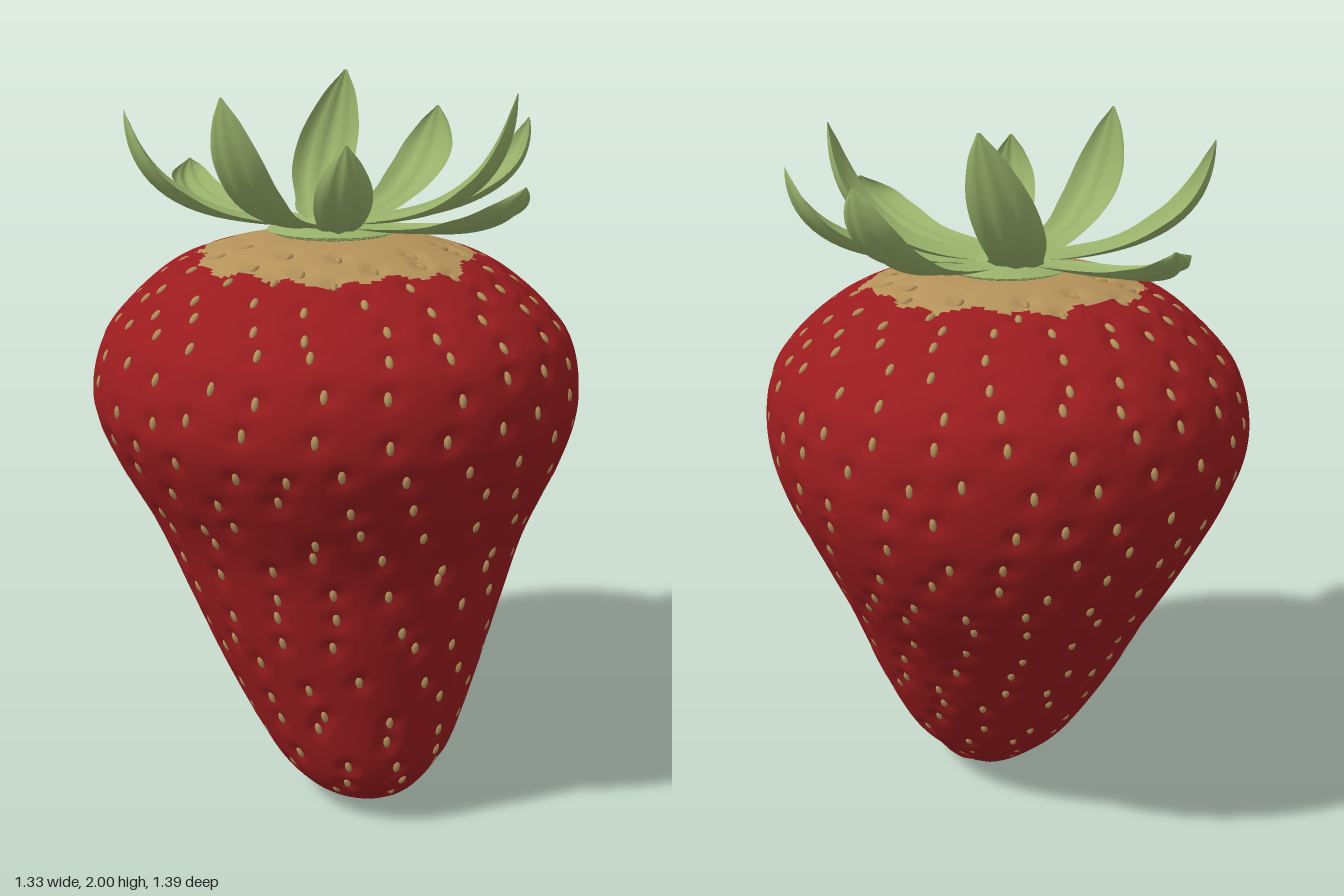
import * as THREE from 'three';
import { mergeGeometries } from 'three/addons/utils/BufferGeometryUtils.js';

const material = (name, color, side = THREE.FrontSide) => {
  const m = new THREE.MeshStandardMaterial({ color, side });
  m.name = name;
  return m;
};

// Fruit cross-sections: height, x min, x max, z min, z max
const SECTIONS = [
  [0.005, 0.06, 0.06, 0.17, 0.17], [0.01, -0.01, 0.13, 0.08, 0.25], [0.035, -0.09, 0.18, 0.01, 0.34],
  [0.1, -0.17, 0.23, -0.07, 0.42], [0.2, -0.24, 0.3, -0.18, 0.475], [0.4, -0.34, 0.385, -0.325, 0.51],
  [0.6, -0.425, 0.455, -0.445, 0.545], [0.8, -0.51, 0.535, -0.585, 0.575], [1.0, -0.615, 0.625, -0.67, 0.65],
  [1.15, -0.665, 0.66, -0.692, 0.692], [1.3, -0.638, 0.642, -0.672, 0.672], [1.4, -0.565, 0.575, -0.61, 0.61],
  [1.5, -0.45, 0.455, -0.475, 0.475], [1.55, -0.33, 0.335, -0.35, 0.35], [1.58, -0.18, 0.18, -0.18, 0.2],
  [1.58, 0, 0, 0, 0],
];
const spline = (pts) => new THREE.CatmullRomCurve3(pts, false, 'catmullrom', 0.5);
const centres = spline(SECTIONS.map(([y, a, b, c, d]) => new THREE.Vector3((a + b) / 2, y, (c + d) / 2)));
const radii = spline(SECTIONS.map(([y, a, b, c, d]) => new THREE.Vector3((b - a) / 2, y, (d - c) / 2)));

// Point on the skin; the front left side is slightly fuller
function surfacePoint(t, angle) {
  const c = centres.getPoint(t), r = radii.getPoint(t);
  const full = 1 + 0.03 * Math.max(0, Math.cos(angle - Math.PI / 4)) ** 4;
  return new THREE.Vector3(c.x + r.x * full * Math.cos(angle), c.y, c.z + r.z * full * Math.sin(angle));
}

function surfaceNormal(t, angle) {
  const p = surfacePoint(t, angle);
  const up = surfacePoint(Math.min(t + 0.003, 1), angle).sub(p);
  const around = surfacePoint(t, angle + 0.01).sub(p);
  return up.cross(around).normalize();
}

// Seed spots in loosely staggered rows, evenly spaced along the skin
function seedSpots() {
  let state = 7;
  const rand = () => (state = (state * 16807) % 2147483647) / 2147483647 - 0.5;
  const spots = [];
  let travelled = 0, row = 0, last = radii.getPoint(0);
  for (let i = 1; i <= 600; i++) {
    const t = i / 600, r = radii.getPoint(t);
    travelled += r.distanceTo(last);
    last = r;
    if (travelled < 0.1 || (t > 0.5 && r.x < 0.26)) continue;
    travelled = 0;
    row++;
    const count = Math.max(4, Math.round((Math.PI * (r.x + r.z)) / 0.165));
    for (let j = 0; j < count; j++) {
      const angle = ((j + row * 0.55 + rand() * 0.4) / count) * Math.PI * 2;
      const st = THREE.MathUtils.clamp(t + rand() * 0.02, 0.01, 0.99);
      spots.push({ point: surfacePoint(st, angle), normal: surfaceNormal(st, angle), up: surfacePoint(st + 0.005, angle) });
    }
  }
  return spots;
}

// Closed fruit skin, dimpled at each seed, with a pale crown and tip
function fruitGeometry(spots) {
  const ROWS = 170, COLS = 170, DIMPLE = 0.045;
  const positions = [], red = [], pale = [];
  for (let i = 0; i <= ROWS; i++) {
    for (let j = 0; j < COLS; j++) {
      const angle = (j / COLS) * Math.PI * 2;
      const p = surfacePoint(i / ROWS, angle), push = new THREE.Vector3();
      for (const s of spots) {
        const d = p.distanceTo(s.point);
        if (d < DIMPLE) push.addScaledVector(s.normal, -0.012 * (1 - (d / DIMPLE) ** 2) ** 2);
      }
      p.add(push);
      positions.push(p.x, p.y, p.z);
    }
  }
  for (let i = 0; i < ROWS; i++) {
    for (let j = 0; j < COLS; j++) {
      const a = i * COLS + j, b = i * COLS + ((j + 1) % COLS), c = a + COLS, d = b + COLS;
      const [x, y, z] = positions.slice(a * 3, a * 3 + 3);
      const angle = Math.atan2(z - 0.04, x);
      const edge = 0.38 + 0.012 * Math.sin(angle * 7 + 1) + 0.01 * Math.sin(angle * 17);
      const isCrown = y > 1.4 && Math.hypot(x, z - 0.04) < edge;
      const isTip = y < 0.1 && Math.hypot(x - 0.06, z - 0.17) < 0.05;
      (isCrown || isTip ? pale : red).push(a, c, b, b, c, d);
    }
  }
  const g = new THREE.BufferGeometry();
  g.setAttribute('position', new THREE.Float32BufferAttribute(positions, 3));
  g.setIndex([...red, ...pale]);
  g.addGroup(0, red.length, 0);
  g.addGroup(red.length, pale.length, 1);
  g.computeVertexNormals();
  return g;
}

// Small teardrop seeds lying along the skin
function seedGeometry(spots) {
  return mergeGeometries(spots.map(({ point, normal, up }) => {
    const g = new THREE.SphereGeometry(1, 7, 5);
    g.scale(0.01, 0.019, 0.009);
    const y = up.clone().sub(point).normalize();
    const x = y.clone().cross(normal).normalize();
    const basis = new THREE.Matrix4().makeBasis(x, y, normal);
    basis.setPosition(point.clone().addScaledVector(normal, -0.01));
    return g.applyMatrix4(basis);
  }));
}

// Leaf tips: x, y, z, width factor, sideways sway of the base
const LEAVES = [
  [-0.31, 1.74, -0.55, 0.85, -0.09], [0.13, 2.0, -0.38, 1.05, -0.08], [0.43, 1.89, -0.43, 1.05, 0],
  [0.58, 1.88, -0.06, 0.92, 0], [0.46, 1.96, 0.16, 0.85, -0.02], [0.36, 1.76, 0.5, 1.1, 0],
  [-0.09, 1.87, 0.5, 0.85, 0], [-0.35, 1.97, 0.29, 1.05, 0], [-0.55, 1.92, -0.045, 0.98, 0],
];
const HALF_WIDTH = spline([[0, 0.04], [0.2, 0.07], [0.38, 0.068], [0.58, 0.083], [0.78, 0.08], [0.92, 0.048], [1, 0.004]]
  .map(([s, w]) => new THREE.Vector3(s, w, 0)));

// Cupped leaf that leaves the hub flat and curls up towards its tip
function leafGeometry([x, y, z, width, sway]) {
  const LONG = 28, WIDE = 12;
  const reach = Math.hypot(x, z), dir = new THREE.Vector3(x / reach, 0, z / reach);
  const side = new THREE.Vector3(-dir.z, 0, dir.x);
  const control = (f, h) => dir.clone().multiplyScalar(reach * f).addScaledVector(side, sway).setY(h);
  const path = new THREE.CubicBezierCurve3(
    new THREE.Vector3(0, 1.618, 0), control(0.48, 1.6), control(1, 1.6 + 0.15 * (y - 1.6)), new THREE.Vector3(x, y, z));
  const positions = [], index = [];
  for (let i = 0; i <= LONG; i++) {
    const w = HALF_WIDTH.getPoint(i / LONG), s = THREE.MathUtils.clamp(w.x, 0, 1);
    const p = path.getPoint(s);
    const normal = side.clone().cross(path.getTangent(s)).normalize();
    if (normal.y < 0) normal.negate();
    for (let j = 0; j <= WIDE; j++) {
      const q = (j / WIDE) * 2 - 1;
      const cup = w.y * Math.min(1, s * 1.8) * (0.35 * q * q - 0.06 * Math.cos(q * Math.PI * 3));
      const v = p.clone().addScaledVector(side, q * w.y * width).addScaledVector(normal, cup);
      positions.push(v.x, v.y, v.z);
      if (i < LONG && j < WIDE) {
        const a = i * (WIDE + 1) + j, c = a + WIDE + 1;
        index.push(a, a + 1, c, a + 1, c + 1, c);
      }
    }
  }
  const g = new THREE.BufferGeometry();
  g.setAttribute('position', new THREE.Float32BufferAttribute(positions, 3));
  g.setIndex(index);
  g.computeVertexNormals();
  return g;
}

export function createModel() {
  const red = material('fruitRed', 0x9a1c1f);
  const tan = material('paleTan', 0xb4925a);
  const green = material('leafGreen', 0x99b16b, THREE.DoubleSide);
  const model = new THREE.Group();
  model.name = 'strawberry';
  const add = (name, geometry, mat, parent = model) => {
    const mesh = new THREE.Mesh(geometry, mat);
    mesh.name = name;
    parent.add(mesh);
  };

  const spots = seedSpots();
  add('fruit', fruitGeometry(spots), [red, tan]);
  add('seeds', seedGeometry(spots), tan);

  // Leafy crown with a central hub and stem stub
  const calyx = new THREE.Group();
  calyx.name = 'calyx';
  model.add(calyx);
  LEAVES.forEach((leaf, i) => add(`leaf${i + 1}`, leafGeometry(leaf), green, calyx));
  const hub = [[0.05, 1.575], [0.16, 1.59], [0.18, 1.6], [0.1, 1.614], [0.05, 1.632], [0.028, 1.65], [0.018, 1.675], [0, 1.678]];
  add('hub', new THREE.LatheGeometry(hub.map(([r, y]) => new THREE.Vector2(r, y)), 36), green, calyx);
  return model;
}
